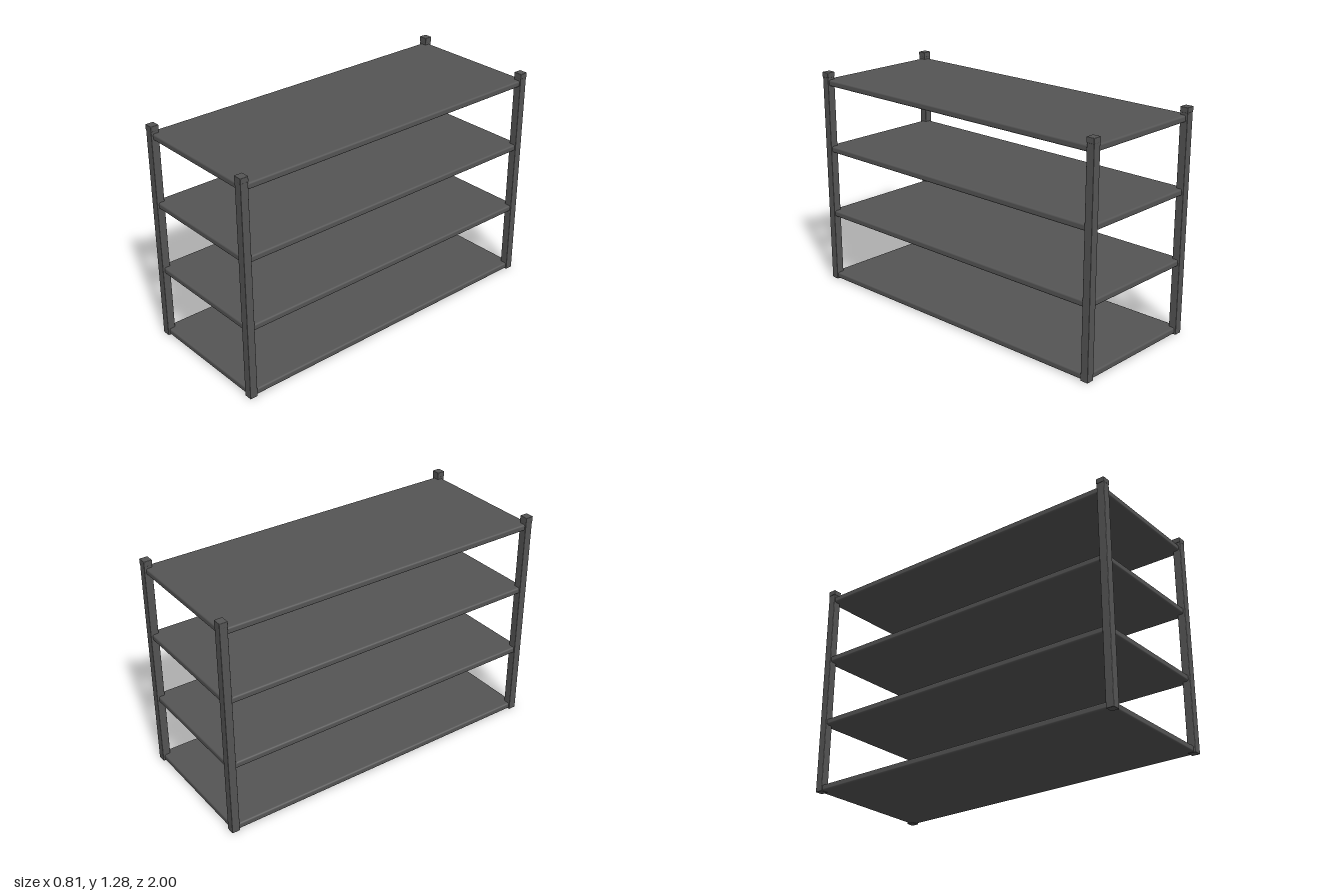
import * as THREE from 'three';
import { RoundedBoxGeometry } from 'three/addons/geometries/RoundedBoxGeometry.js';

export function createModel() {
  const group = new THREE.Group();
  group.name = 'shelvingUnit';
  const metal = new THREE.MeshStandardMaterial({ color: 0x555555 });
  metal.name = 'darkGreyMetal';

  const addBox = (name, size, position, radius) => {
    const mesh = new THREE.Mesh(new RoundedBoxGeometry(...size, 3, radius), metal);
    mesh.name = name;
    mesh.position.set(...position);
    group.add(mesh);
  };

  // Four square corner posts, each with a slightly wider cap
  const height = 1.28, capHeight = 0.03;
  for (const [side, x] of [['Left', 0.381], ['Right', -0.381]]) {
    for (const [end, z] of [['front', 0.976], ['back', -0.976]]) {
      addBox(`${end}${side}Post`, [0.047, height - 0.005, 0.046], [x, (height - 0.005) / 2, z], 0.003);
      addBox(`${end}${side}Cap`, [0.051, capHeight, 0.048], [x, height - capHeight / 2, z], 0.003);
    }
  }

  // Four slabs with softened edges, evenly spaced
  const thickness = 0.036;
  [0.003, 0.402, 0.802, 1.201].forEach((bottom, i) => {
    addBox(`shelf${i + 1}`, [0.794, thickness, 1.976], [0, bottom + thickness / 2, 0], 0.01);
  });

  return group;
}
